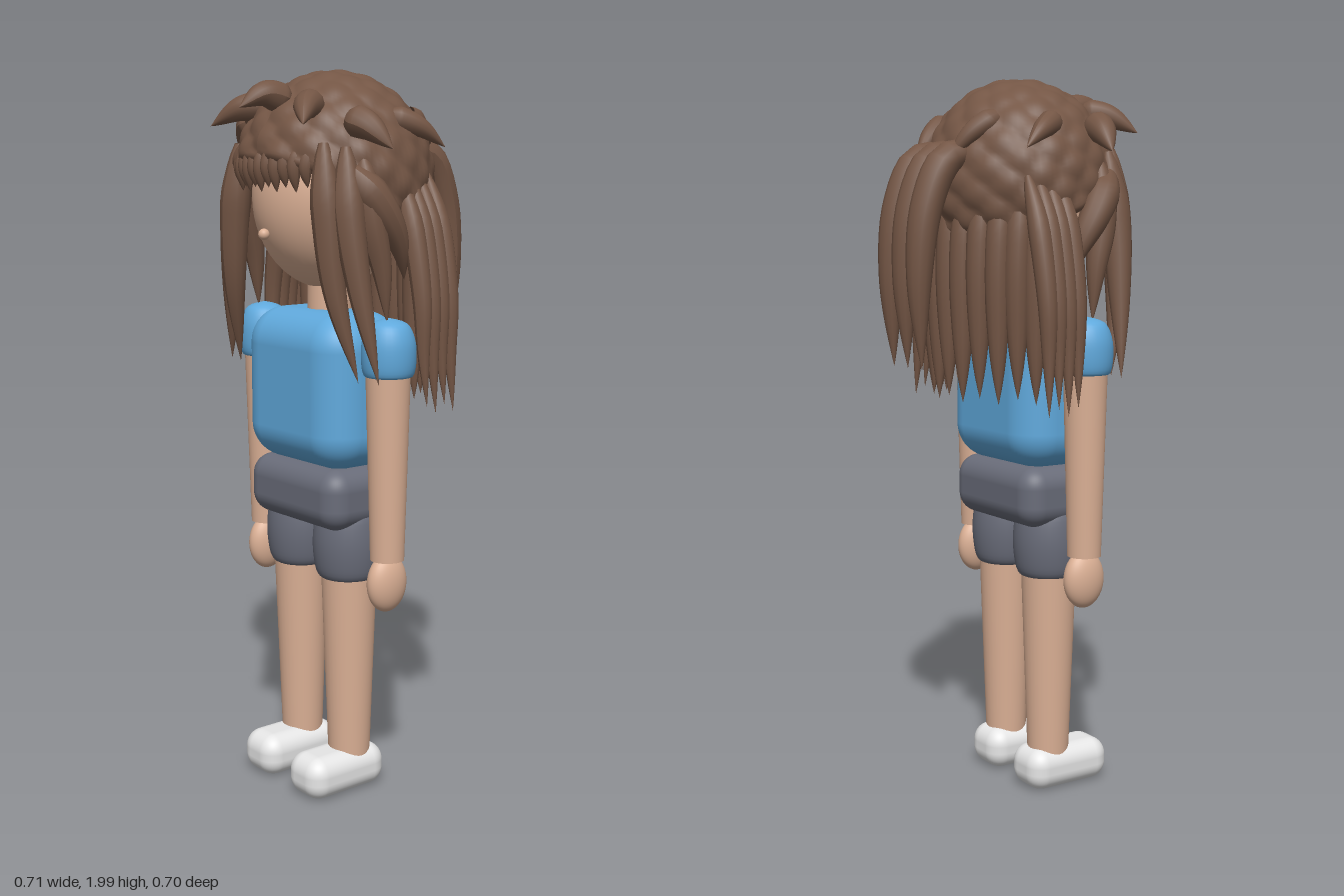
import * as THREE from 'three';
import { RoundedBoxGeometry } from 'three/addons/geometries/RoundedBoxGeometry.js';

const material = (name, color) => {
  const m = new THREE.MeshStandardMaterial({ color });
  m.name = name;
  return m;
};

export function createModel() {
  const model = new THREE.Group();
  model.name = 'longHairedFigure';
  const skin = material('skin', 0xdbb095);
  const hair = material('brownHair', 0x745645);
  const blue = material('blueShirt', 0x60a9dc);
  const grey = material('greyShorts', 0x696c79);
  const white = material('whiteShoe', 0xe6e6e6);
  hair.side = THREE.DoubleSide;

  const add = (name, geometry, mat, x = 0, y = 0, z = 0) => {
    const mesh = new THREE.Mesh(geometry, mat);
    mesh.name = name;
    mesh.position.set(x, y, z);
    model.add(mesh);
    return mesh;
  };
  const ball = (rx, ry, rz) => new THREE.SphereGeometry(1, 40, 28).scale(rx, ry, rz);
  const lathe = (points) =>
    new THREE.LatheGeometry(new THREE.SplineCurve(points.map((p) => new THREE.Vector2(...p))).getPoints(24), 32);

  // Body
  add('torso', new RoundedBoxGeometry(0.43, 0.425, 0.285, 8, 0.1), blue, 0, 1.145, 0.083);
  add('shortsHips', new RoundedBoxGeometry(0.4, 0.17, 0.26, 6, 0.06), grey, 0, 0.855, 0.085);
  add('neck', new THREE.CylinderGeometry(0.06, 0.062, 0.16, 32), skin, 0, 1.4, 0.065);
  add('head', ball(0.2, 0.25, 0.215), skin, 0, 1.66, 0.065);
  add('nose', ball(0.015, 0.015, 0.015), skin, 0, 1.565, 0.285);

  // Limbs
  const shortsLeg = lathe([[0, 0.62], [0.06, 0.62], [0.086, 0.632], [0.097, 0.68], [0.099, 0.74], [0.09, 0.8], [0.07, 0.83]]);
  const sleeve = lathe([[0, 1.2], [0.05, 1.2], [0.067, 1.208], [0.073, 1.25], [0.069, 1.3], [0.048, 1.34], [0, 1.355]]);
  for (const s of [1, -1]) {
    const side = s > 0 ? 'left' : 'right';
    add(side + 'Shoe', new RoundedBoxGeometry(0.145, 0.12, 0.265, 6, 0.05), white, s * 0.107, 0.066, 0.128);
    add(side + 'Leg', new THREE.CylinderGeometry(0.08, 0.058, 0.62, 32), skin, s * 0.109, 0.4, 0.085);
    add(side + 'ShortsLeg', shortsLeg, grey, s * 0.107, 0, 0.085);
    add(side + 'Sleeve', sleeve, blue, s * 0.276, 0, 0.087);
    add(side + 'Arm', new THREE.CylinderGeometry(0.061, 0.046, 0.55, 32), skin, s * 0.274, 0.98, 0.087);
    add(side + 'Hand', ball(0.039, 0.08, 0.062), skin, s * 0.273, 0.64, 0.087);
  }

  // Lumpy hair cap, cut higher over the face than at the back
  const bumps = Array.from({ length: 170 }, (_, i) => {
    const y = 1 - (2 * i + 1) / 170, r = Math.sqrt(1 - y * y), a = i * 2.39996;
    return new THREE.Vector3(r * Math.cos(a), y, r * Math.sin(a));
  });
  const cap = new THREE.SphereGeometry(1, 112, 56);
  const pos = cap.attributes.position, uv = cap.attributes.uv, p = new THREE.Vector3();
  for (let i = 0; i < pos.count; i++) {
    const a = uv.getX(i) * Math.PI * 2, v = 1 - uv.getY(i);
    const theta = v * (1.44 + 0.72 * Math.min(1, (1 - Math.cos(a)) * 0.7));
    p.set(Math.sin(theta) * Math.sin(a), Math.cos(theta), Math.sin(theta) * Math.cos(a));
    let lump = 0;
    for (const b of bumps) lump = Math.max(lump, Math.exp(-p.distanceToSquared(b) / 0.03));
    const curl = Math.max(0, (v - 0.93) / 0.07);
    p.multiplyScalar(0.965 + lump * (0.035 + 0.05 * v * v) - 0.12 * curl * curl);
    pos.setXYZ(i, p.x * 0.28, 1.71 + p.y * 0.284, 0.05 + p.z * 0.26);
  }
  cap.computeVertexNormals();
  add('hairCap', cap, hair);

  // Tapered lock of hair along a curve
  const lock = (name, points, radius, taper = 3, start = 0.3) => {
    const curve = new THREE.CatmullRomCurve3(points.map((q) => new THREE.Vector3(...q)));
    const rows = 20, sides = 12;
    const g = new THREE.TubeGeometry(curve, rows, 1, sides);
    const gp = g.attributes.position, v = new THREE.Vector3();
    for (let i = 0; i < gp.count; i++) {
      const t = Math.floor(i / (sides + 1)) / rows;
      const c = curve.getPointAt(t);
      const r = radius * Math.sqrt(Math.min(1, start * start + t * 4)) * (1 - t ** taper);
      v.fromBufferAttribute(gp, i).sub(c).multiplyScalar(r).add(c);
      gp.setXYZ(i, v.x, v.y, v.z);
    }
    g.computeVertexNormals();
    return add(name, g, hair);
  };

  // Fringe
  for (let i = -5; i <= 5; i++) {
    const x = i * 0.029, z = 0.05 + 0.245 * Math.sqrt(1 - (x / 0.27) ** 2);
    lock('fringe', [[x, 1.79, z - 0.02], [x, 1.74, z], [x * 1.02, 1.675 + 0.012 * (i % 2 ? 1 : 0), z - 0.005]], 0.021);
  }

  // Back curtain
  for (let i = 0; i <= 10; i++) {
    const a = (i - 5) * 0.26, x = 0.235 * Math.sin(a), z = 0.005 - 0.178 * Math.cos(a);
    lock('backHair', [[x * 0.95, 1.72, z + 0.02], [x, 1.5, z], [x, 1.3, z], [x * 1.02, 1.12 + 0.015 * (i % 2), z]], 0.036, 4);
  }

  // Ponytail
  for (const x of [-0.075, 0, 0.075])
    lock('ponytail', [[x, 1.79, -0.15], [x, 1.765, -0.225], [x, 1.65, -0.283], [x, 1.47, -0.308], [x, 1.215, -0.302]], 0.045, 3, 0.7);

  for (const s of [1, -1]) {
    const path = (...points) => points.map(([x, y, z]) => [s * x, y, z]);
    // Side bunch
    for (let i = 0; i < 4; i++) {
      const z = -0.075 + i * 0.031;
      lock('sideHair', path([0.235, 1.72, z], [0.285, 1.6, z], [0.328, 1.4, z], [0.335, 1.26, z], [0.345, 1.1 + 0.02 * (i % 2), z - 0.005]), 0.031);
    }
    // Locks framing the face
    lock('faceLock', path([0.185, 1.8, 0.23], [0.205, 1.62, 0.235], [0.225, 1.42, 0.225], [0.265, 1.19, 0.18]), 0.043, 2.5);
    lock('faceLock', path([0.225, 1.79, 0.19], [0.255, 1.6, 0.2], [0.285, 1.42, 0.19], [0.33, 1.19, 0.165]), 0.043, 2.5);
    lock('faceLock', path([0.245, 1.76, 0.15], [0.27, 1.6, 0.14], [0.28, 1.48, 0.115], [0.285, 1.34, 0.1]), 0.042, 2.5);
    lock('templeLock', path([0.235, 1.74, 0.19], [0.28, 1.64, 0.12], [0.285, 1.54, 0.06], [0.27, 1.45, 0.03]), 0.048, 2.5);
    // Tufts on the cap
    lock('frontTuft', path([0.1, 1.9, 0.2], [0.145, 1.89, 0.255], [0.205, 1.845, 0.31]), 0.04, 2, 0.7);
    lock('sideTuft', path([0.21, 1.86, 0.16], [0.265, 1.84, 0.145], [0.335, 1.785, 0.125]), 0.043, 2, 0.7);
    lock('rearTuft', path([0.205, 1.87, 0.03], [0.25, 1.84, -0.04], [0.275, 1.79, -0.105]), 0.034, 2, 0.6);
    lock('backTuft', path([0.13, 1.88, -0.1], [0.105, 1.83, -0.17], [0.08, 1.76, -0.225]), 0.034, 2, 0.6);
  }
  lock('frontTuft', [[0, 1.91, 0.21], [0, 1.925, 0.28], [0, 1.89, 0.358]], 0.042, 2, 0.7);

  return model;
}
